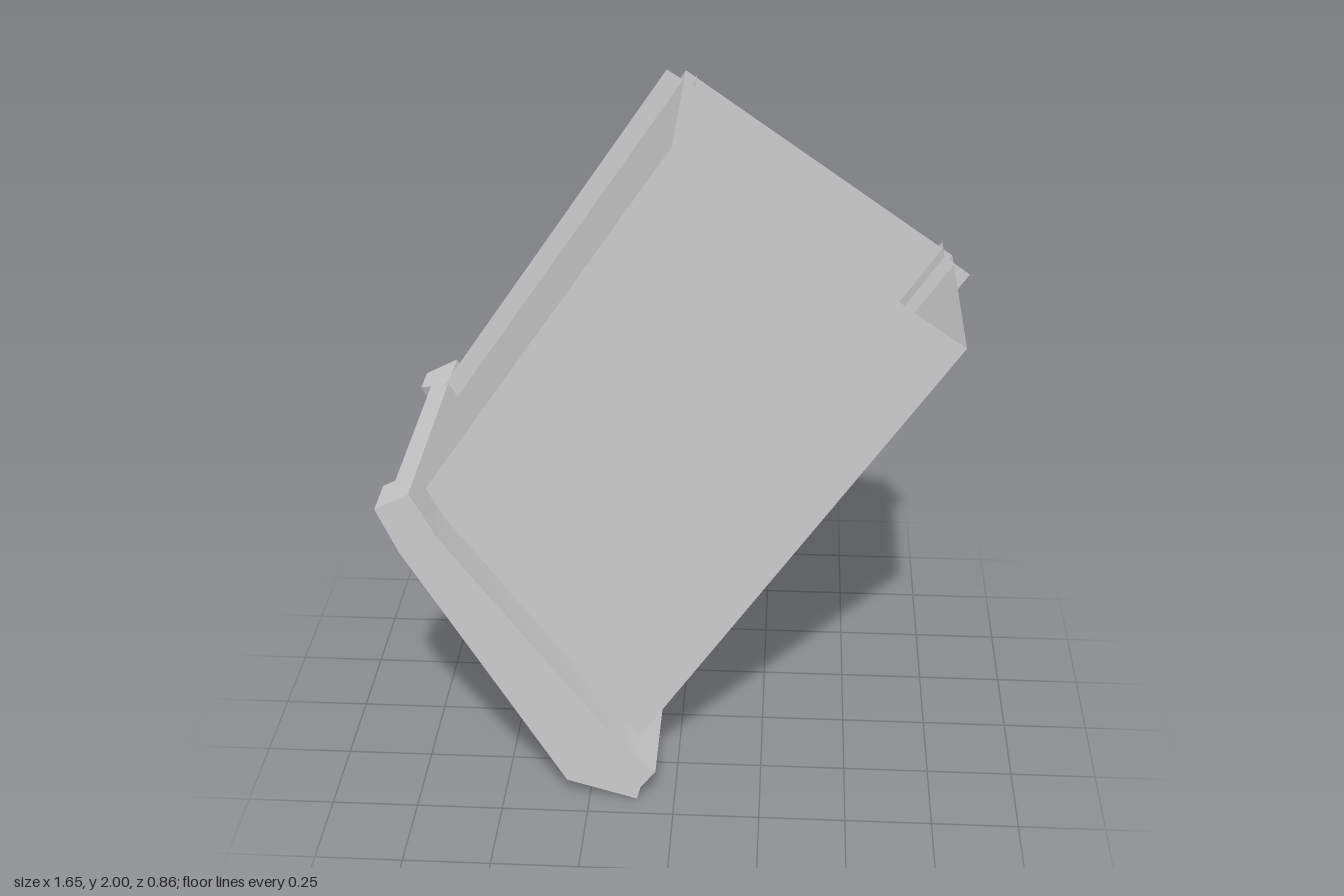
import * as THREE from 'three';
import { toCreasedNormals } from 'three/addons/utils/BufferGeometryUtils.js';

export function createModel() {
  const group = new THREE.Group();
  const solid = new THREE.MeshStandardMaterial({ color: 0xcccccc });
  const thin = new THREE.MeshStandardMaterial({ color: 0xcccccc, side: THREE.DoubleSide });

  const shapeOf = (pts) => new THREE.Shape(pts.map(([x, y]) => new THREE.Vector2(x, y)));
  const add = (name, geometry, material) => {
    const mesh = new THREE.Mesh(geometry, material);
    mesh.name = name;
    group.add(mesh);
    return mesh;
  };

  // Thin sheet facing z
  const panel = (name, pts, z) => {
    add(name, new THREE.ShapeGeometry(shapeOf(pts)), thin).position.z = z;
  };
  // Thin sheet running from a to b, spanning z0..z1
  const wall = (name, a, b, z0, z1) => {
    const g = new THREE.BufferGeometry();
    g.setAttribute('position', new THREE.Float32BufferAttribute(
      [...a, z0, ...b, z0, ...b, z1, ...a, z1], 3));
    g.setIndex([0, 1, 2, 0, 2, 3]);
    g.computeVertexNormals();
    add(name, g, thin);
  };
  // Solid profile between z0 and z1; the z0 end may have its own outline
  const block = (name, pts, z0, z1, backPts = pts) => {
    const g = new THREE.ExtrudeGeometry(shapeOf(pts), { depth: z1 - z0, bevelEnabled: false });
    const p = g.attributes.position;
    for (let i = 0; i < p.count; i++) {
      if (p.getZ(i) > 1e-5) continue;
      const k = pts.findIndex(([x, y]) => Math.hypot(p.getX(i) - x, p.getY(i) - y) < 1e-4);
      p.setXY(i, ...backPts[k]);
    }
    add(name, toCreasedNormals(g, 0.4), solid).position.z = z0;
  };

  // Depth stations of the tilted open tube
  const FRONT = 0.314, FLANGE = -0.263, BACK = -0.333, RAIL = -0.38;

  // Rectangular tube, open at both ends
  const low = [[-0.155, 0.19], [-0.655, 0.87]];
  const tl = [-0.01, 1.977], tr = [0.774, 1.43], br = [-0.105, 0.145], bl = [-0.702, 0.96];
  panel('frontPanel', [tl, tr, br, ...low, bl], FRONT);
  panel('backPanel', [tl, tr, br, ...low, bl], BACK);
  wall('leftSideWall', tr, br, BACK, FRONT);
  wall('rightSideWall', tl, bl, BACK, FRONT);

  // Rails running through the back panel, just inside the sides
  const tl2 = [0.02, 1.95], tr2 = [0.746, 1.455], br2 = [-0.122, 0.17], bl2 = [-0.683, 0.925];
  wall('leftRail', tr2, br2, RAIL, FLANGE);
  wall('rightRail', tl2, bl2, RAIL, FLANGE);

  // Flanges standing out from the rails past the sides
  panel('rightFlange', [[-0.06, 2.0], tl2, bl2, [-0.75, 0.985]], FLANGE);
  panel('leftFlange', [[0.822, 1.4], tr2, br2, [-0.06, 0.1]], FLANGE);

  // Base collar: two cheeks, the back one chamfered along its outer rim
  const outerRim = [[-0.825, 0.955], [-0.765, 0.82], [-0.315, 0.06], [-0.11, 0]];
  const innerRim = [[-0.79, 0.972], [-0.73, 0.84], [-0.29, 0.11], [-0.1, 0.04]];
  const top = [[-0.055, 0.1], [-0.105, 0.145], ...low, bl, [-0.728, 1.005]];
  const cheek = [...outerRim, [-0.1, 0.04], ...top];
  const chamfered = [...innerRim, [-0.097, 0.044], ...top];
  block('frontCheek', cheek, 0.298, 0.432);
  block('backCheek', cheek, -0.432, -0.332);
  block('backCheekChamfer', chamfered, -0.332, -0.305, cheek);

  // Base collar: end bars bridging the cheeks
  block('upperBar', [innerRim[0], [-0.745, 0.875], bl, [-0.728, 1.005]], -0.31, 0.3);
  block('lowerBar', [innerRim[2], innerRim[3], [-0.055, 0.1], br, low[0]], -0.31, 0.3);

  return group;
}
